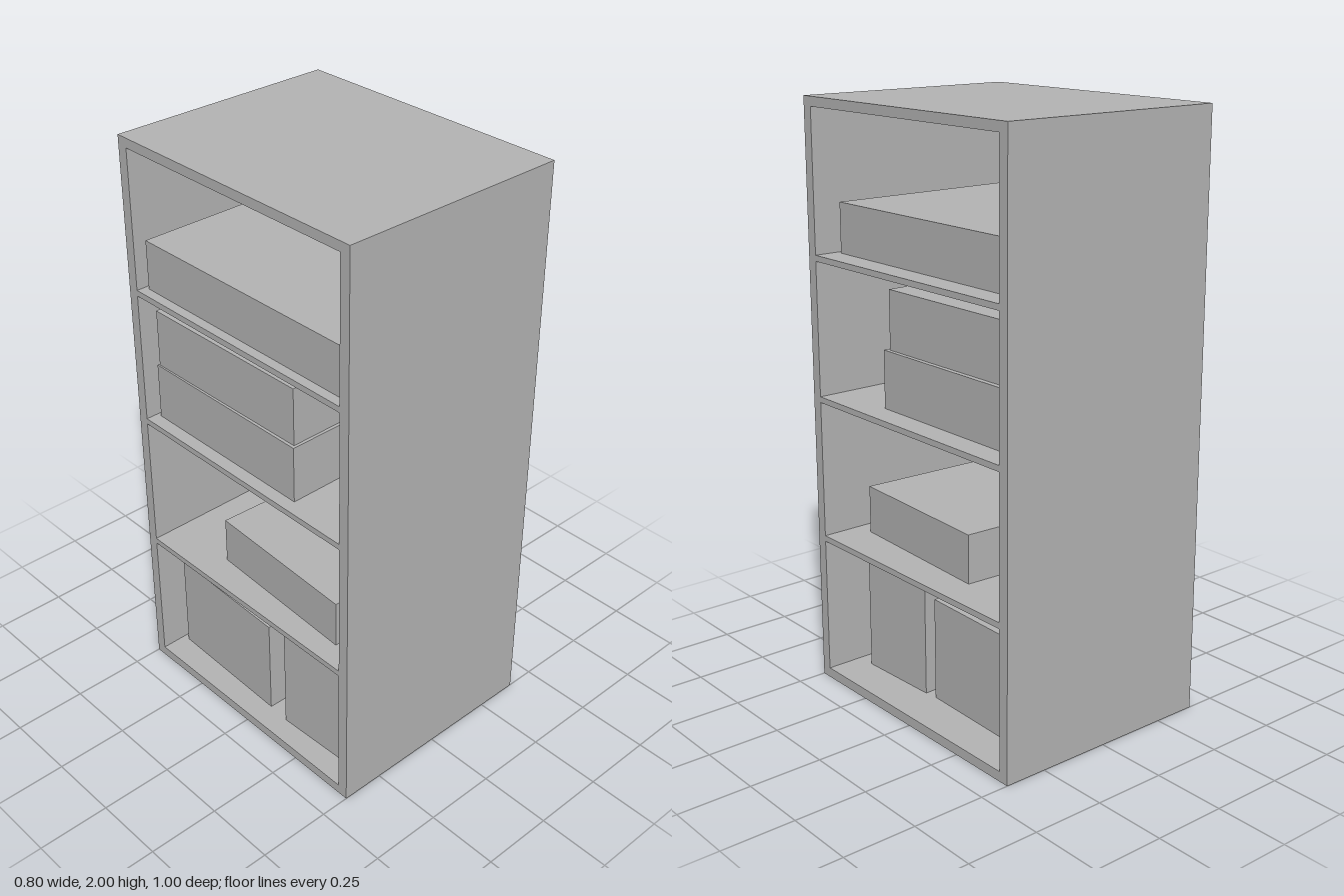
import * as THREE from 'three';

export function createModel() {
  const group = new THREE.Group();
  const grey = new THREE.MeshStandardMaterial({ color: 0xb3b3b3 });
  grey.name = 'grey';

  // Box standing on height y0, optionally turned about the vertical
  const addBox = (name, [w, d], [y0, y1], x = 0, z = 0, turn = 0) => {
    const mesh = new THREE.Mesh(new THREE.BoxGeometry(w, y1 - y0, d), grey);
    mesh.name = name;
    mesh.position.set(x, (y0 + y1) / 2, z);
    mesh.rotation.y = turn;
    group.add(mesh);
  };

  const width = 0.8, wall = 0.0375, inner = 1 - 2 * wall;

  // Full-height panels at front and back; both x sides stay open
  addBox('frontPanel', [width, wall], [0, 2], 0, 0.5 - wall / 2);
  addBox('backPanel', [width, wall], [0, 2], 0, -0.5 + wall / 2);

  // Base, top and the three shelves
  addBox('base', [width, inner], [0, 0.034]);
  addBox('topPanel', [width, inner], [1.968, 2]);
  addBox('lowerShelf', [width, inner], [0.508, 0.528]);
  addBox('middleShelf', [width, inner], [1.0, 1.02]);
  addBox('upperShelf', [width, inner], [1.475, 1.495]);

  // Stored boxes, some set down slightly askew
  addBox('tallBoxFront', [0.583, 0.302], [0.034, 0.42], -0.028, 0.257, 0.04);
  addBox('tallBoxBack', [0.571, 0.475], [0.034, 0.39], -0.028, -0.195, -0.026);
  addBox('lowBox', [0.584, 0.572], [0.528, 0.693], -0.018, 0.095, -0.048);
  addBox('stackBoxLower', [0.67, 0.66], [1.02, 1.215], -0.02, -0.115);
  addBox('stackBoxUpper', [0.645, 0.645], [1.215, 1.413], -0.024, -0.12, 0.008);
  addBox('wideBox', [0.683, 0.885], [1.495, 1.662], -0.025, -0.003);

  return group;
}
